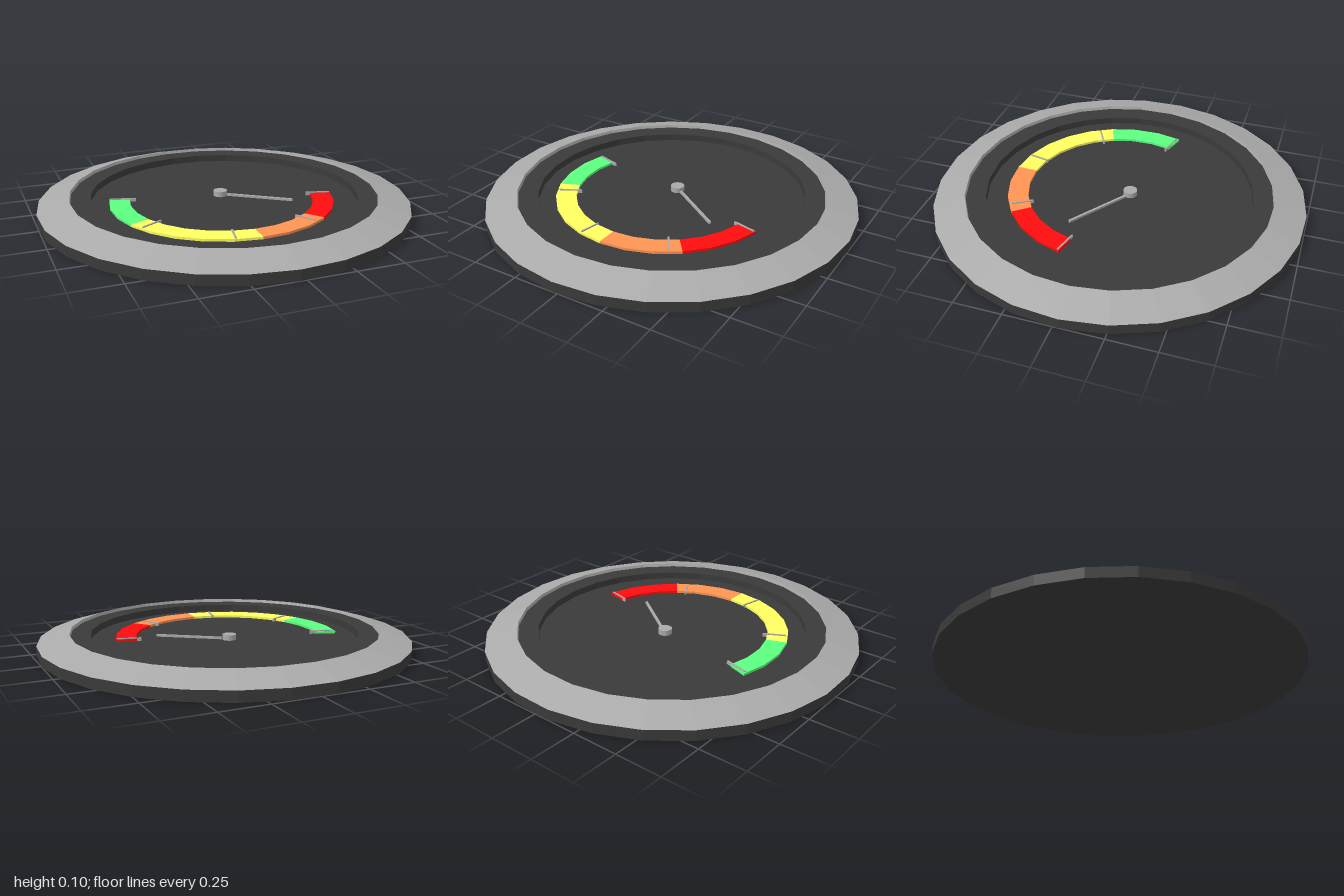
import * as THREE from 'three';

const SIDES = 27;
const STEP = (Math.PI * 2) / SIDES;
const START = THREE.MathUtils.degToRad(-1.6); // angle of the first corner, from +x towards +z
const FLOOR = 0.05;
const DARK = 0x3a3a3a;
const METAL = 0xaaaaaa;

const material = (color) => new THREE.MeshStandardMaterial({ color, flatShading: true });

export function createModel() {
  const model = new THREE.Group();

  const add = (name, geometry, color) => {
    const mesh = new THREE.Mesh(geometry, material(color));
    mesh.name = name;
    model.add(mesh);
    return mesh;
  };

  // Faceted turned part from a [radius, height] profile
  const turned = (name, profile, color) => add(
    name,
    new THREE.LatheGeometry(profile.map(([r, y]) => new THREE.Vector2(r, y)), SIDES, Math.PI / 2 - START),
    color,
  );

  // Thin bar lying on the dial between two [x, z] points
  const bar = (name, [x0, z0], [x1, z1], width, bottom, top) => {
    const length = Math.hypot(x1 - x0, z1 - z0);
    const mesh = add(name, new THREE.BoxGeometry(length, top - bottom, width), METAL);
    mesh.position.set((x0 + x1) / 2, (bottom + top) / 2, (z0 + z1) / 2);
    mesh.rotation.y = -Math.atan2(z1 - z0, x1 - x0);
  };

  // Housing, sloped bezel and recessed dial
  turned('housing', [[0, 0], [1, 0], [1, 0.055]], DARK);
  turned('bezel', [[1, 0.055], [0.83, 0.105], [0.826, 0.088]], METAL);
  turned('dialFace', [[0.826, 0.088], [0.72, 0.088], [0.72, FLOOR], [0, FLOOR]], DARK);

  // Coloured scale bands: first and last corner index along the arc
  const bands = [
    ['redBand', 1, 4, 0xff0c0c],
    ['orangeBand', 4, 7, 0xff9453],
    ['yellowBand', 7, 12, 0xffff60],
    ['greenBand', 12, 15, 0x5cff80],
  ];
  for (const [name, from, to, color] of bands) {
    const outer = [];
    const inner = [];
    for (let k = from; k <= to; k++) {
      const a = START + k * STEP;
      outer.push(new THREE.Vector2(Math.cos(a) * 0.605, Math.sin(a) * 0.605));
      inner.unshift(new THREE.Vector2(Math.cos(a) * 0.495, Math.sin(a) * 0.495));
    }
    const geometry = new THREE.ExtrudeGeometry(new THREE.Shape([...outer, ...inner]), {
      depth: 0.014, bevelEnabled: false,
    });
    geometry.rotateX(Math.PI / 2);
    add(name, geometry, color).position.set(-0.02, 0.063, 0.01);
  }

  // Scale ticks
  const ticks = [
    [[-0.59, -0.165], [-0.46, -0.13]],
    [[-0.54, 0.295], [-0.43, 0.237]],
    [[-0.168, 0.59], [-0.145, 0.48]],
    [[0.23, 0.41], [0.29, 0.51]],
    [[0.44, 0.11], [0.565, 0.142]],
  ];
  ticks.forEach(([a, b], i) => bar(`tick${i + 1}`, a, b, 0.009, FLOOR, 0.068));

  // Needle and its hub
  bar('needle', [0.035, -0.04], [0.33, 0.17], 0.013, FLOOR, 0.062);
  const hub = add('needleHub', new THREE.CylinderGeometry(0.037, 0.037, 0.03, 20), METAL);
  hub.position.set(0, 0.064, -0.06);

  return model;
}
